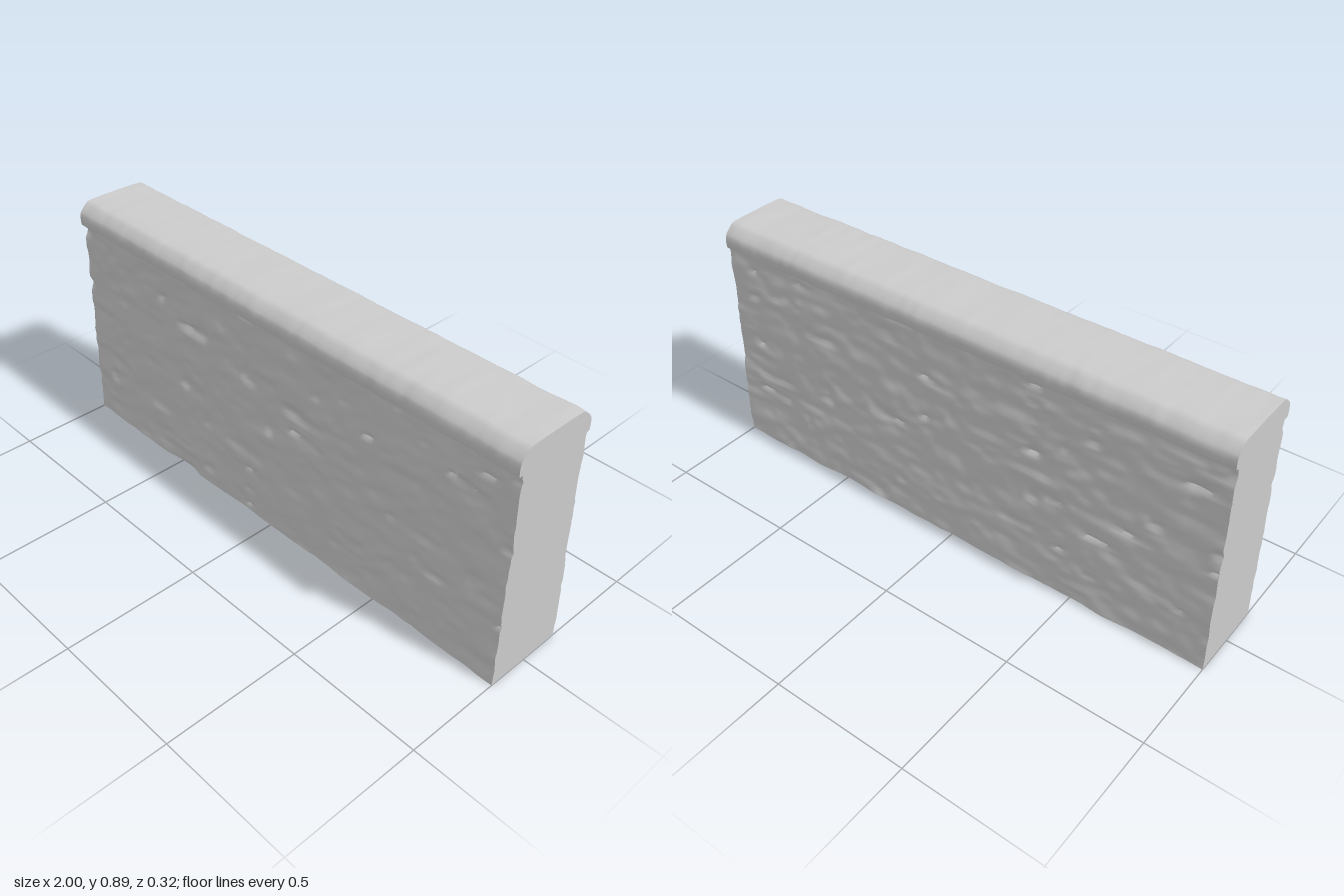
import * as THREE from 'three';
import { toCreasedNormals } from 'three/addons/utils/BufferGeometryUtils.js';

const COLUMNS = 180;

// Seeded value noise in the range -1..1
function hash(i, j, seed) {
  const s = Math.sin(i * 127.1 + j * 311.7 + seed * 74.7) * 43758.5453;
  return (s - Math.floor(s)) * 2 - 1;
}
function noise(x, y, seed) {
  const i = Math.floor(x), j = Math.floor(y);
  const fade = t => t * t * (3 - 2 * t);
  const u = fade(x - i), v = fade(y - j);
  const mix = THREE.MathUtils.lerp;
  return mix(mix(hash(i, j, seed), hash(i + 1, j, seed), u),
    mix(hash(i, j + 1, seed), hash(i + 1, j + 1, seed), u), v);
}

// Rough stone: long shallow courses, small lumps and a few chipped pits
function stone(x, y, seed) {
  const warp = 0.02 * noise(x * 3, y * 5, seed + 9);
  const courses = 0.0035 * noise(x * 8, (y + warp) * 22, seed);
  const lumps = 0.0025 * noise(x * 19, (y + warp) * 38, seed + 3);
  const pits = 0.03 * Math.max(0, noise(x * 9, (y + warp) * 30, seed + 5) - 0.65);
  return courses + lumps - pits;
}

// Sweeps a mirrored-order profile (front foot, over the top, back foot) along x,
// closing the ends and the underside
function sweep(profile, displace) {
  const n = profile.length, position = [], index = [];
  for (let c = 0; c <= COLUMNS; c++) {
    const x = -1 + 2 * c / COLUMNS;
    for (const [z, y] of profile) {
      const [dz, dy] = displace(x, y, z);
      position.push(x, y + dy, z + dz);
    }
  }
  const quad = (a, b, c, d) => index.push(a, b, c, a, c, d);
  for (let c = 0; c < COLUMNS; c++) {
    const a = c * n, b = a + n;
    for (let i = 0; i < n; i++) {
      const k = (i + 1) % n;
      quad(a + i, b + i, b + k, a + k);
    }
  }
  const last = COLUMNS * n;
  for (let i = 0; i < Math.floor(n / 2) - 1; i++) {
    const q = n - 1 - i;
    quad(last + i, last + q, last + q - 1, last + i + 1);
    quad(i, i + 1, q - 1, q);
  }
  const geometry = new THREE.BufferGeometry();
  geometry.setAttribute('position', new THREE.Float32BufferAttribute(position, 3));
  geometry.setIndex(index);
  return toCreasedNormals(geometry, 0.85);
}

// Slightly tapering wall body
function bodyGeometry() {
  const rows = 64, top = 0.805, profile = [];
  for (let i = 0; i <= rows; i++) {
    const t = i / rows;
    profile.push([0.149 - 0.008 * t, top * t]);
  }
  for (let i = rows; i >= 0; i--) {
    const t = i / rows;
    profile.push([-0.152 + 0.01 * t, top * t]);
  }
  return sweep(profile, (x, y, z) => {
    const side = Math.sign(z);
    return [side * stone(x, y, side > 0 ? 1 : 20), 0];
  });
}

// Chamfered coping with a small overhanging lip
function copingGeometry() {
  const half = [[0.132, 0.805], [0.154, 0.804], [0.156, 0.81], [0.157, 0.83],
    [0.156, 0.848], [0.151, 0.858], [0.141, 0.869], [0.13, 0.88],
    [0.12, 0.887], [0.11, 0.89], [0.06, 0.891], [0.01, 0.891]];
  const profile = [...half, ...half.map(([z, y]) => [-z, y]).reverse()];
  return sweep(profile, (x, y, z) => {
    const side = Math.sign(z);
    const rim = Math.abs(z) > 0.1 && y > 0.8055 || Math.abs(z) > 0.14 ? 1 : 0;
    const wear = 0.0018 * noise(x * 14, y * 9, side + 40) + 0.0014 * noise(x * 38, y * 16, side + 50);
    const top = y > 0.84 ? 0.0015 * noise(x * 7, z * 6, 60) + 0.001 * noise(x * 26, z * 8, 61) - 0.001 : 0;
    const lip = y < 0.806 && rim ? 0.003 * noise(x * 16, 0.5, side + 70) : 0;
    return [rim * side * (wear - 0.001), top + lip];
  });
}

export function createModel() {
  const group = new THREE.Group();
  group.name = 'stoneWall';
  const material = new THREE.MeshStandardMaterial({ color: 0xcccccc });
  const add = (name, geometry) => {
    const mesh = new THREE.Mesh(geometry, material);
    mesh.name = name;
    group.add(mesh);
  };
  add('wallBody', bodyGeometry());
  add('coping', copingGeometry());
  return group;
}
